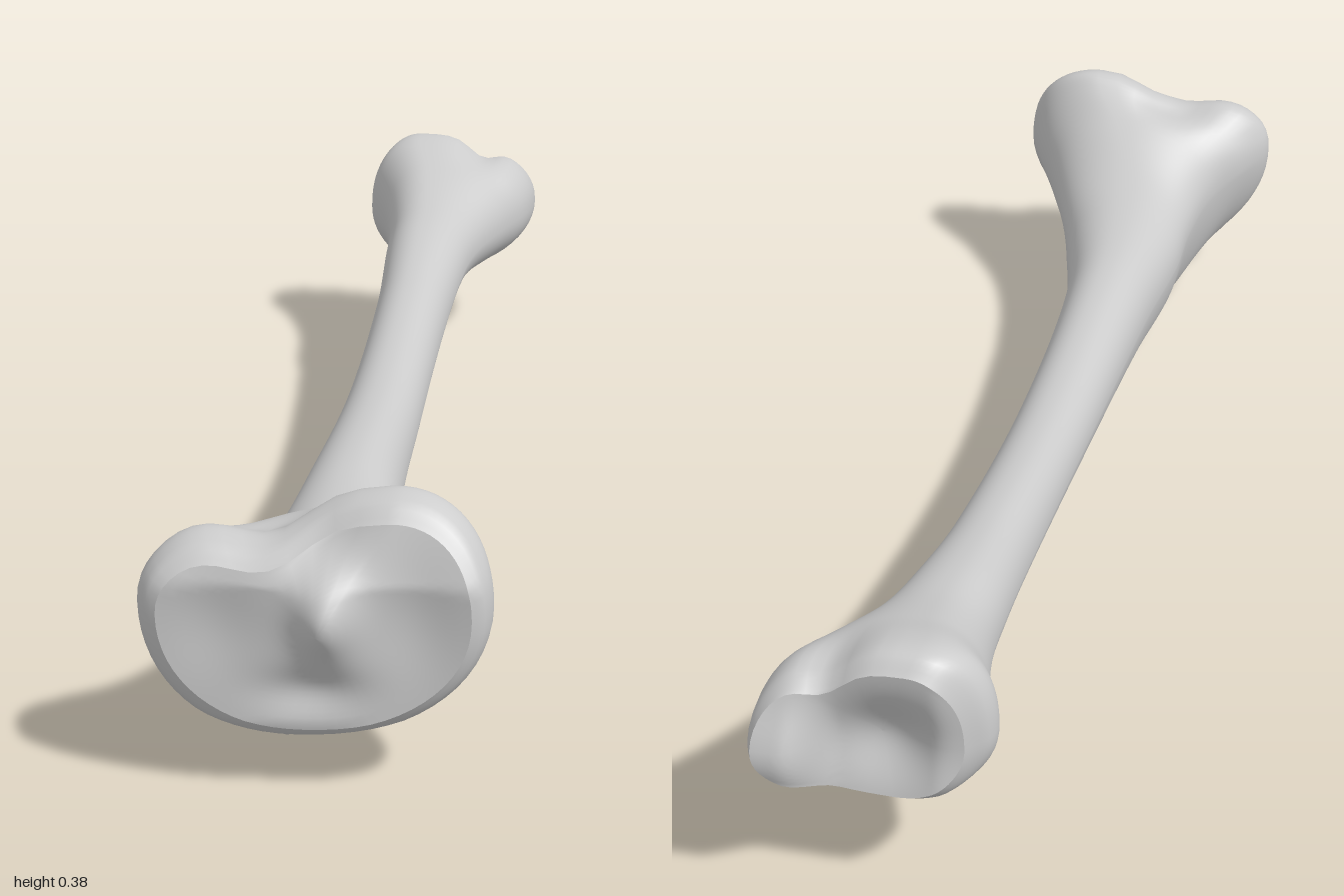
import * as THREE from 'three';

// Stations along the bone: z, left, right, bottom, top, x of crest, x of top, y of widest
const STATIONS = [
  [-0.955, -0.11, 0.150, 0.160, 0.350, -0.02, -0.04, 0.24],
  [-0.93, -0.135, 0.160, 0.145, 0.370, -0.02, -0.05, 0.24],
  [-0.88, -0.140, 0.158, 0.135, 0.365, -0.02, -0.05, 0.24],
  [-0.80, -0.110, 0.120, 0.140, 0.335, -0.02, -0.03, 0.23],
  [-0.70, -0.090, 0.080, 0.143, 0.303, -0.02, -0.02, 0.22],
  [-0.60, -0.085, 0.060, 0.135, 0.285, -0.02, -0.02, 0.21],
  [-0.40, -0.078, 0.045, 0.110, 0.252, -0.02, -0.02, 0.18],
  [0.00, -0.080, 0.040, 0.070, 0.217, -0.03, -0.02, 0.15],
  [0.40, -0.095, 0.050, 0.038, 0.235, -0.04, -0.02, 0.15],
  [0.60, -0.110, 0.090, 0.020, 0.242, -0.05, -0.01, 0.15],
  [0.70, -0.115, 0.120, 0.012, 0.262, -0.05, 0.00, 0.17],
  [0.80, -0.140, 0.165, 0.002, 0.320, -0.055, 0.04, 0.20],
  [0.86, -0.190, 0.200, 0.025, 0.360, -0.05, 0.08, 0.23],
  [0.91, -0.220, 0.218, 0.050, 0.382, -0.04, 0.09, 0.24],
  [0.955, -0.208, 0.210, 0.075, 0.375, -0.02, 0.09, 0.24],
  [0.968, -0.190, 0.195, 0.090, 0.355, -0.01, 0.09, 0.24],
];
const SIDES = 64;
const { smoothstep, lerp } = THREE.MathUtils;
const bump = (x, y, cx, cy, sx, sy = sx) => Math.exp(-(((x - cx) / sx) ** 2) - ((y - cy) / sy) ** 2);

// Smooth (Hermite) interpolation of the station table
function stationAt(z) {
  let i = 0;
  while (i < STATIONS.length - 2 && z > STATIONS[i + 1][0]) i++;
  const p1 = STATIONS[i], p2 = STATIONS[i + 1];
  const p0 = STATIONS[i - 1] ?? p1, p3 = STATIONS[i + 2] ?? p2;
  const h = p2[0] - p1[0], t = (z - p1[0]) / h, t2 = t * t, t3 = t2 * t;
  return p1.map((a, k) => {
    const m1 = (p2[k] - p0[k]) / (p2[0] - p0[0]) * h;
    const m2 = (p3[k] - p1[k]) / (p3[0] - p1[0]) * h;
    return (2 * t3 - 3 * t2 + 1) * a + (t3 - 2 * t2 + t) * m1 + (3 * t2 - 2 * t3) * p2[k] + (t3 - t2) * m2;
  });
}

// Relief of the knee end: sloping back, central eminence, two shallow dishes
function kneeRelief(x, y) {
  return -0.4 * Math.max(0, y - 0.28) - 0.04 * x
    - 0.3 * Math.max(0, 0.1 - y)
    + 0.034 * bump(x, y, 0.02, 0.24, 0.035, 0.05)
    - 0.014 * bump(x, y, 0.125, 0.24, 0.06, 0.09)
    - 0.01 * bump(x, y, -0.12, 0.23, 0.06, 0.07)
    - 0.014 * bump(x, y, 0.0, 0.14, 0.06, 0.03)
    - 0.02 * bump(x, y, 0.01, 0.34, 0.04, 0.04);
}

// Relief of the ankle end: projecting inner tip and hollow joint surface
function ankleRelief(x, y) {
  return -0.046 * smoothstep(x, 0.05, 0.115) * bump(0, y, 0, 0.22, 1, 0.075)
    + 0.035 * bump(x, y, -0.01, 0.24, 0.07, 0.06)
    + 0.02 * smoothstep(-x, 0.07, 0.13);
}

// One closed cross-section made from four superelliptic quarters
function ring(z) {
  const [, left, right, bottom, top, xBottom, xTop, yWide] = stationAt(z);
  const nBottom = lerp(2.1, 1.55, smoothstep(z, -0.85, -0.5) * (1 - smoothstep(z, 0.84, 0.95)));
  const kneeDent = 0.05 * smoothstep(z, 0.8, 0.9);
  const ankleDent = 0.03 * (1 - smoothstep(z, -0.93, -0.8));
  const points = [];
  for (let j = 0; j < SIDES; j++) {
    const a = (j / SIDES) * Math.PI * 2, c = Math.cos(a), s = Math.sin(a);
    const n = s < 0 ? nBottom : 2.2;
    const u = Math.abs(c) ** (2 / n), v = Math.abs(s) ** (2 / n);
    const xMid = s < 0 ? xBottom : xTop;
    const x = xMid + u * (c < 0 ? left - xMid : right - xMid);
    let y = yWide + v * (s < 0 ? bottom - yWide : top - yWide);
    // Notch between the two knee condyles, groove beside the ankle tip
    if (s > 0) y -= v * (kneeDent * bump(x, 0, -0.06, 0, 0.075) + ankleDent * bump(x, 0, 0.065, 0, 0.035));
    const dz = kneeRelief(x, y) * smoothstep(z, 0.8, 0.95)
      + ankleRelief(x, y) * (1 - smoothstep(z, -0.94, -0.84));
    points.push(new THREE.Vector3(x, y, z + dz));
  }
  return points;
}

// Joint surface: the end ring drawn in to its centre over the relief
function capRings(z, relief, centre) {
  const outer = ring(z), rings = [];
  for (let i = 0; i <= 18; i++) {
    const k = 1 - i / 18;
    rings.push(outer.map((p) => {
      const x = lerp(centre[0], p.x, k), y = lerp(centre[1], p.y, k);
      return new THREE.Vector3(x, y, z + relief(x, y));
    }));
  }
  return rings;
}

function skin(name, rings) {
  const index = [];
  for (let i = 0; i < rings.length - 1; i++) {
    for (let j = 0; j < SIDES; j++) {
      const k = (j + 1) % SIDES;
      const a = i * SIDES + j, b = i * SIDES + k, d = a + SIDES, c = b + SIDES;
      index.push(a, b, c, a, c, d);
    }
  }
  const geometry = new THREE.BufferGeometry().setFromPoints(rings.flat());
  geometry.setIndex(index);
  geometry.computeVertexNormals();
  const mesh = new THREE.Mesh(geometry, new THREE.MeshStandardMaterial({ color: 0xcccccc, roughness: 0.8 }));
  mesh.name = name;
  return mesh;
}

export function createModel() {
  const group = new THREE.Group();
  group.name = 'shinBone';
  const zEnd = STATIONS.at(-1)[0], zStart = STATIONS[0][0];

  // Shaft, with closer rings towards the flared ends
  const rings = [];
  const steps = 110;
  for (let i = 0; i <= steps; i++) {
    const t = i / steps;
    const eased = lerp(t, t * t * (3 - 2 * t), 0.8);
    rings.push(ring(lerp(zStart, zEnd, eased)));
  }
  group.add(skin('shaft', rings));

  // Joint surfaces
  group.add(skin('kneeJointSurface', capRings(zEnd, kneeRelief, [0.01, 0.23])));
  group.add(skin('ankleJointSurface', capRings(zStart, ankleRelief, [0.0, 0.24]).reverse()));
  return group;
}
